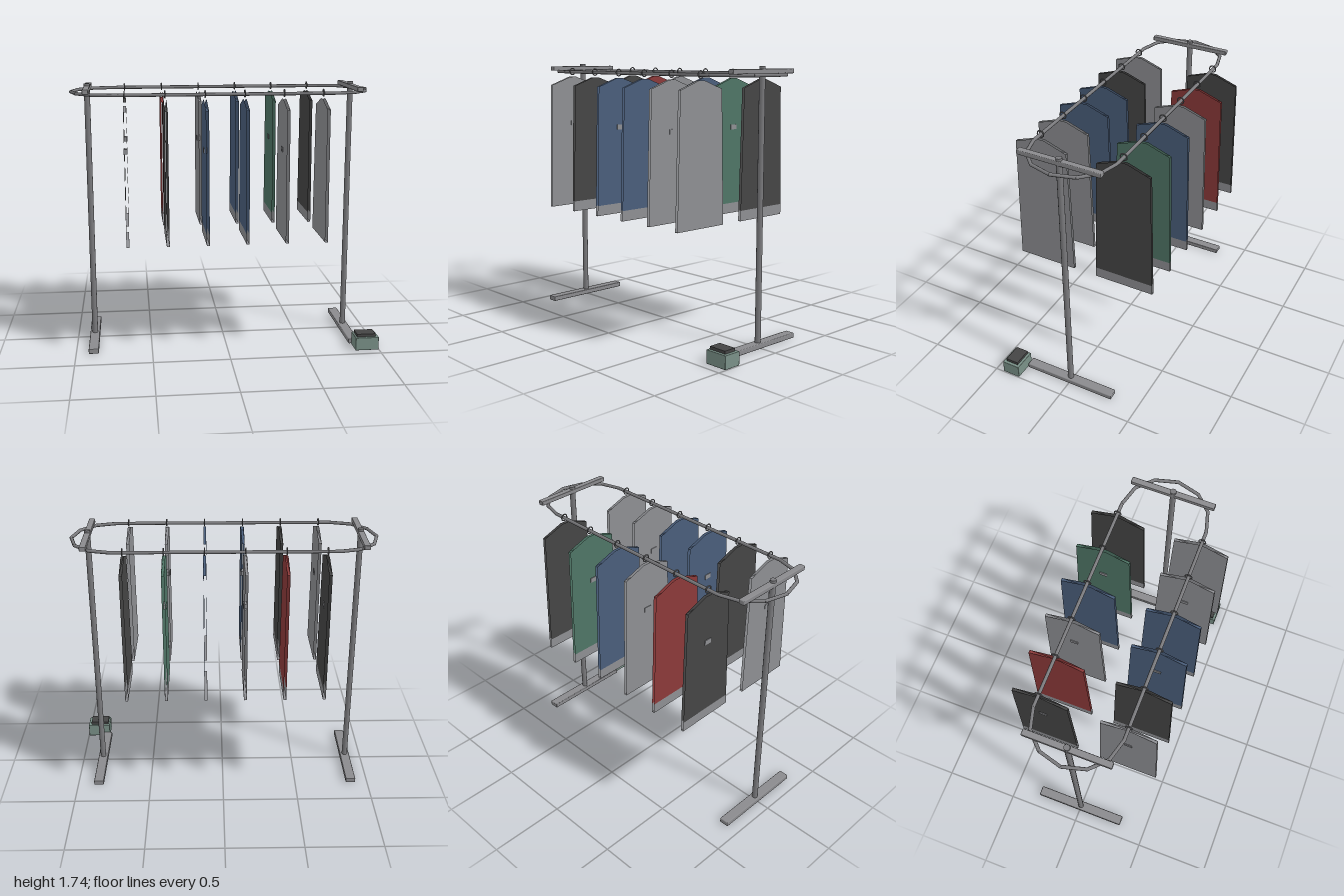
import * as THREE from 'three';
import { RoundedBoxGeometry } from 'three/addons/geometries/RoundedBoxGeometry.js';

const flat = (name, color, side = THREE.FrontSide) =>
  Object.assign(new THREE.MeshStandardMaterial({ color, side }), { name });

export function createModel() {
  const model = new THREE.Group();
  model.name = 'garmentRack';

  const mats = {
    metal: flat('steel', 0x7b7b7e),
    frame: flat('frameGrey', 0x8b8b8e),
    box: flat('boxGreen', 0x7a9188),
    grey: flat('fabricGrey', 0x8e8f93, THREE.DoubleSide),
    dark: flat('fabricCharcoal', 0x454545, THREE.DoubleSide),
    red: flat('fabricRed', 0x8c3a3a, THREE.DoubleSide),
    blue: flat('fabricBlue', 0x4a5e7b, THREE.DoubleSide),
    green: flat('fabricGreen', 0x4f7566, THREE.DoubleSide),
  };

  const add = (parent, name, geometry, material, x = 0, y = 0, z = 0) => {
    const mesh = new THREE.Mesh(geometry, material);
    mesh.name = name;
    mesh.position.set(x, y, z);
    parent.add(mesh);
    return mesh;
  };

  // The rack sits slightly to one side, making room for the control box
  const rack = new THREE.Group();
  rack.name = 'rack';
  rack.position.x = -0.014;
  model.add(rack);

  // End frames: foot, post and top crossbar
  for (const s of [-1, 1]) {
    const end = new THREE.Group();
    end.name = s < 0 ? 'rightEndFrame' : 'leftEndFrame';
    end.position.x = s * 0.871;
    rack.add(end);
    add(end, 'foot', new RoundedBoxGeometry(0.066, 0.034, 0.634, 1, 0.006), mats.frame, 0, 0.017);
    add(end, 'post', new THREE.CylinderGeometry(0.019, 0.019, 1.715, 12), mats.metal, 0, 0.8825);
    add(end, 'crossbar', new RoundedBoxGeometry(0.04, 0.03, 0.55, 1, 0.005), mats.frame, 0, 1.709);
  }

  // Closed conveyor rail made of straight tube lengths
  const RAIL_Y = 1.688;
  const quarter = [[0.974, 0], [0.935, 0.145], [0.84, 0.24], [0.705, 0.277]];
  const back = [...quarter].reverse();
  const loop = [
    ...quarter,
    ...back.map(([x, z]) => [-x, z]),
    ...quarter.slice(1).map(([x, z]) => [-x, -z]),
    ...back.slice(0, 3).map(([x, z]) => [x, -z]),
  ].map(([x, z]) => new THREE.Vector3(x, RAIL_Y, z));
  const rail = new THREE.Group();
  rail.name = 'rail';
  rack.add(rail);
  loop.forEach((a, i) => {
    const b = loop[(i + 1) % loop.length];
    const dir = b.clone().sub(a);
    const seg = add(rail, 'railSegment',
      new THREE.CylinderGeometry(0.011, 0.011, dir.length() + 0.004, 8), mats.metal);
    seg.position.copy(a).add(b).multiplyScalar(0.5);
    seg.quaternion.setFromUnitVectors(new THREE.Vector3(0, 1, 0), dir.normalize());
  });

  // Garment outlines: [half width, height] on one side, mirrored to the other
  const panel = (half) => {
    const pts = [...half, ...half.map(([w, y]) => [-w, y]).reverse()];
    return new THREE.ShapeGeometry(new THREE.Shape(pts.map(([w, y]) => new THREE.Vector2(w, y))))
      .rotateY(-Math.PI / 2);
  };
  const T = 0.018;
  const cloth = panel([[0.196, 0.826], [0.176, 1.602], [0.025, 1.655]]);
  const hem = panel([[0.198, 0.759], [0.196, 0.826]]);
  const shoulder = new THREE.PlaneGeometry(T, 0.352).rotateX(-Math.PI / 2);
  const base = new THREE.PlaneGeometry(T, 0.396).rotateX(Math.PI / 2);
  const hook = new THREE.TorusGeometry(0.022, 0.004, 6, 12).rotateY(Math.PI / 2);
  const tag = new THREE.BoxGeometry(0.026, 0.032, 0.05);

  const rows = [
    [1, ['grey', 'dark', 'blue', 'blue', 'grey', 'grey']],
    [-1, ['dark', 'red', 'grey', 'blue', 'green', 'dark']],
  ];
  for (const [side, colours] of rows) {
    colours.forEach((colour, i) => {
      const g = new THREE.Group();
      g.name = 'garment';
      g.position.set(-0.63 + i * 0.252, 0, side * 0.277);
      rack.add(g);
      // Two cloth sheets with a grey hem, closed at shoulder and base
      for (const s of [-1, 1]) {
        add(g, 'cloth', cloth, mats[colour], s * T / 2);
        add(g, 'hem', hem, mats.grey, s * T / 2);
      }
      add(g, 'shoulder', shoulder, mats[colour], 0, 1.602);
      add(g, 'hemBase', base, mats.grey, 0, 0.759);
      add(g, 'hook', hook, mats.metal, 0, RAIL_Y + 0.003);
      // Every second garment carries a tag
      if (i % 2 === 0) add(g, 'tag', tag, mats.grey, 0, 1.335);
    });
  }

  // Control box beside the foot
  add(model, 'controlBox', new RoundedBoxGeometry(0.156, 0.088, 0.122, 1, 0.004), mats.box, 0.919, 0.044, 0.382);
  add(model, 'controlPad', new THREE.BoxGeometry(0.124, 0.02, 0.086), mats.dark, 0.915, 0.097, 0.382);

  return model;
}
